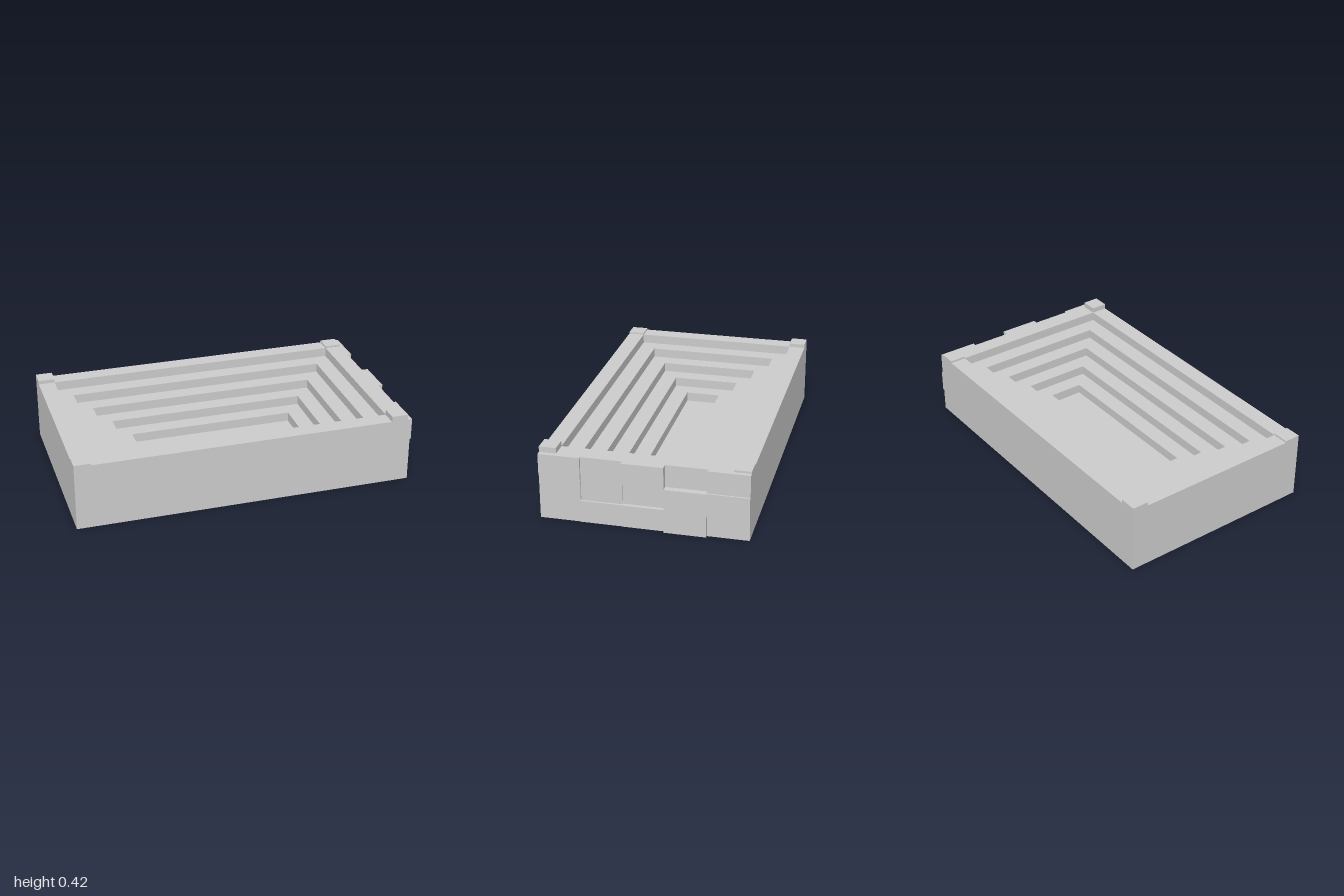
import * as THREE from 'three';

const material = new THREE.MeshStandardMaterial({ color: 0xcccccc, flatShading: true });
const HEIGHT = 0.39, STEP = 0.055, WALL_X = 0.96, HALF_Z = 0.587;

function addBox(parent, name, [x0, x1], [y0, y1], [z0, z1]) {
  const mesh = new THREE.Mesh(new THREE.BoxGeometry(x1 - x0, y1 - y0, z1 - z0), material);
  mesh.position.set((x0 + x1) / 2, (y0 + y1) / 2, (z0 + z1) / 2);
  mesh.name = name;
  parent.add(mesh);
}

// Rectangular loop, counter-clockwise seen from above
const rectangle = (x0, x1, z, y) => [[x0, y, z], [x1, y, z], [x1, y, -z], [x0, y, -z]];

// Closed skin through a series of rectangular loops
function loftRectangles(loops) {
  const positions = [];
  const quad = (a, b, c, d) => positions.push(...a, ...b, ...c, ...a, ...c, ...d);
  for (let i = 0; i < loops.length - 1; i++) {
    for (let j = 0; j < 4; j++) {
      const k = (j + 1) % 4;
      quad(loops[i][j], loops[i][k], loops[i + 1][k], loops[i + 1][j]);
    }
  }
  quad(...[...loops[0]].reverse());
  quad(...loops[loops.length - 1]);
  const geometry = new THREE.BufferGeometry();
  geometry.setAttribute('position', new THREE.Float32BufferAttribute(positions, 3));
  geometry.computeVertexNormals();
  return geometry;
}

export function createModel() {
  const model = new THREE.Group();
  model.name = 'steppedBasin';

  // Solid body with five terraces sinking towards the middle
  const loops = [rectangle(-1, WALL_X, HALF_Z, 0), rectangle(-1, WALL_X, HALF_Z, HEIGHT)];
  for (let i = 0; i < 5; i++) {
    const inset = 0.097 * (i + 1);
    const opening = (y) => rectangle(-1 + inset, WALL_X - inset, HALF_Z - inset, y);
    loops.push(opening(HEIGHT - i * STEP), opening(HEIGHT - (i + 1) * STEP));
  }
  const body = new THREE.Mesh(loftRectangles(loops), material);
  body.name = 'terracedBody';
  model.add(body);

  // Low corner blocks of uneven height
  const posts = new THREE.Group();
  posts.name = 'cornerBlocks';
  for (const [x, zSide, top] of [[-1, 1, 0.4], [-1, -1, 0.412], [0.862, 1, 0.422], [0.862, -1, 0.402]]) {
    const z = zSide > 0 ? [HALF_Z - 0.097, HALF_Z] : [-HALF_Z, -HALF_Z + 0.097];
    addBox(posts, 'cornerBlock', [x, x + 0.098], [HEIGHT, top], z);
  }
  model.add(posts);

  // Rough masonry face: outer x of each stone, bottom to top, from front to back
  const columns = [
    [0.98, 0.98, 0.987],
    [0.983, 0.97, 0.973],
    [0.985, 0.962, 1],
    [1, 1, 0.962],
    [0.983, 0.995, 0.985],
  ];
  const stones = new THREE.Group();
  stones.name = 'masonryFace';
  const width = 2 * HALF_Z / columns.length, rowHeight = HEIGHT / 3;
  columns.forEach((depths, c) => depths.forEach((x, r) => {
    const z = HALF_Z - c * width;
    addBox(stones, 'stone', [WALL_X, x], [r * rowHeight, (r + 1) * rowHeight], [z - width, z]);
  }));
  model.add(stones);

  return model;
}
